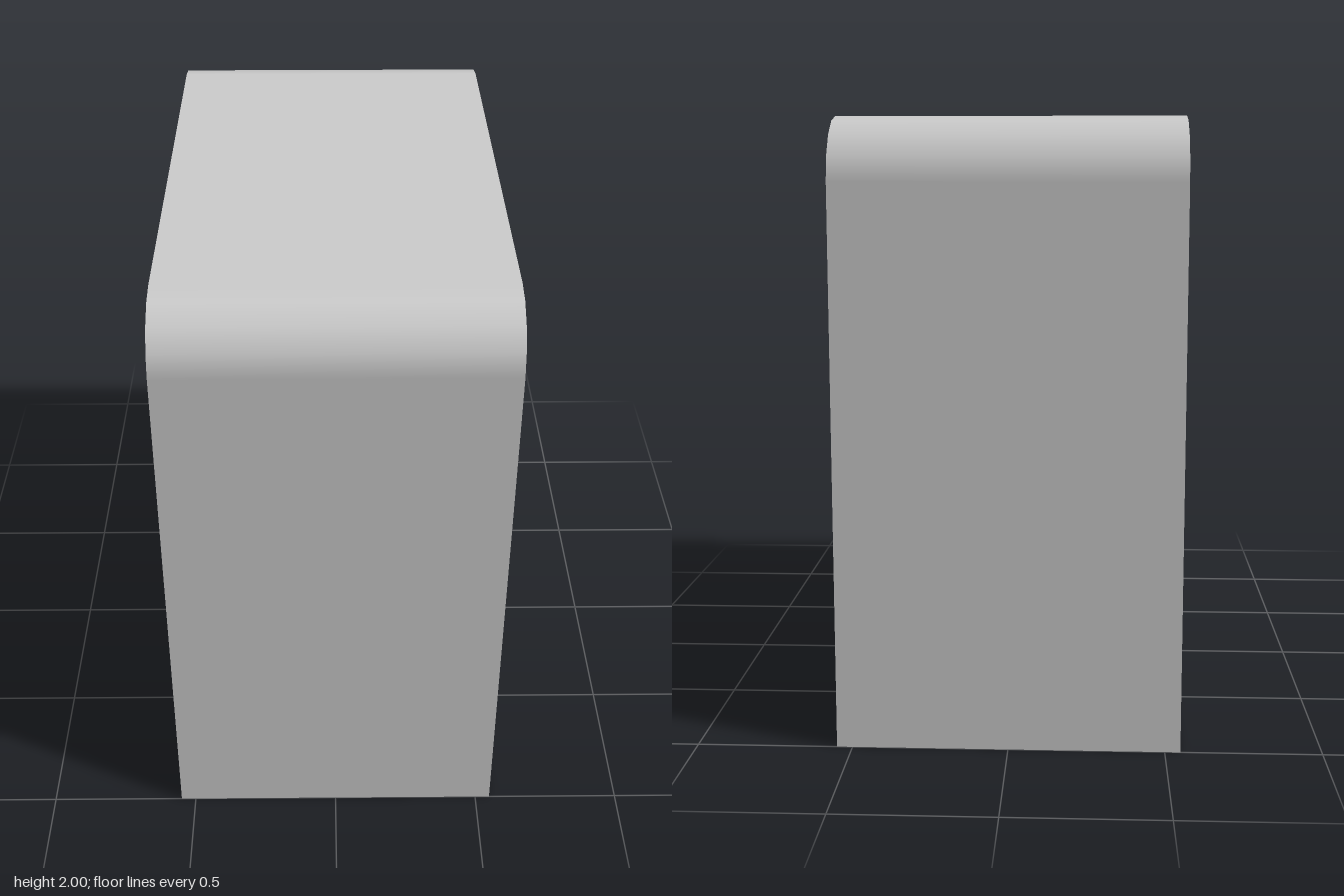
import * as THREE from 'three';

const HALF = 0.55;   // half the cabinet thickness
const R = 0.2;       // radius of the top corners
const SEG = 4;       // facets per corner
const LIP = 0.005;   // how far the trim stands proud of the panel

const material = new THREE.MeshStandardMaterial({ color: 0xcccccc });
const v2 = (x, y) => new THREE.Vector2(x, y);

// Parts are drawn in a panel frame: x across the panel, y up, z out of it.
const rect = (x0, y0, x1, y1) => [v2(x0, y0), v2(x1, y0), v2(x1, y1), v2(x0, y1)];

// Cabinet side profile, anticlockwise, with two rounded top corners
function profile() {
  const pts = [v2(-1, 0), v2(1, 0)];
  for (const [cx, start] of [[1 - R, 0], [R - 1, Math.PI / 2]]) {
    for (let i = 0; i <= SEG; i++) {
      const a = start + (i / SEG) * Math.PI / 2;
      pts.push(v2(cx + R * Math.cos(a), 2 - R + R * Math.sin(a)));
    }
  }
  return pts;
}

// Flat face at depth z, with optional holes
function face(pts, z, holes = []) {
  const shape = new THREE.Shape(pts);
  shape.holes = holes.map((h) => new THREE.Path(h));
  return new THREE.ShapeGeometry(shape).translate(0, 0, z);
}

// Wall around a closed outline from z0 to z1; a reversed outline faces inward.
// Short edges belong to the rounded corners and take radial normals.
function wall(pts, z0, z1) {
  const pos = [], nor = [];
  pts.forEach((a, i) => {
    const b = pts[(i + 1) % pts.length];
    const len = a.distanceTo(b);
    const flat = v2((b.y - a.y) / len, (a.x - b.x) / len);
    const normal = (p) => (len < 0.1
      ? v2(p.x - Math.sign(p.x) * (1 - R), p.y - (2 - R)).normalize() : flat);
    for (const [p, z] of [[a, z0], [b, z0], [b, z1], [a, z0], [b, z1], [a, z1]]) {
      const n = normal(p);
      pos.push(p.x, p.y, z);
      nor.push(n.x, n.y, 0);
    }
  });
  const g = new THREE.BufferGeometry();
  g.setAttribute('position', new THREE.Float32BufferAttribute(pos, 3));
  g.setAttribute('normal', new THREE.Float32BufferAttribute(nor, 3));
  return g;
}

function part(name, ...geometries) {
  const group = new THREE.Group();
  group.name = name;
  for (const g of geometries) group.add(new THREE.Mesh(g, material));
  return group;
}

export function createModel() {
  const model = new THREE.Group();
  model.name = 'cabinet';

  const outline = profile();
  const tray = rect(-0.91, 0.1, 0.91, 0.82);
  const frame = rect(-0.87, 1.135, 0.5, 1.935);
  const screen = rect(-0.83, 1.185, 0.45, 1.9);
  const inward = (pts) => [...pts].reverse();

  // Cabinet shell: rim, plain side and panel side with two openings
  model.add(part('shell',
    wall(outline, -HALF, HALF),
    face(outline, -HALF).rotateY(Math.PI).translate(0, 0, -2 * HALF),
    face(outline, HALF, [tray, screen])));

  // Deep tray opening at the bottom
  const trayBack = HALF - 0.3;
  model.add(part('tray', wall(inward(tray), trayBack, HALF), face(tray, trayBack)));

  // Shallow recessed screen and its thin frame
  const screenBack = HALF - 0.05;
  model.add(part('screen', wall(inward(screen), screenBack, HALF + LIP), face(screen, screenBack)));
  model.add(part('screenFrame', wall(frame, HALF, HALF + LIP), face(frame, HALF + LIP, [screen])));

  // Two square buttons under the screen
  for (const x of [-0.53, -0.23]) {
    model.add(part('button', new THREE.BoxGeometry(0.16, 0.16, 2 * LIP).translate(x, 1, HALF)));
  }

  // The plain back face was turned about the centre, so bring it to -HALF
  const back = model.children[0].children[1].geometry;
  back.computeBoundingBox();
  back.translate(0, 0, -HALF - back.boundingBox.min.z);

  // Turn the panel to face the right side of the model
  model.rotation.y = -Math.PI / 2;
  const root = new THREE.Group();
  root.add(model);
  return root;
}
